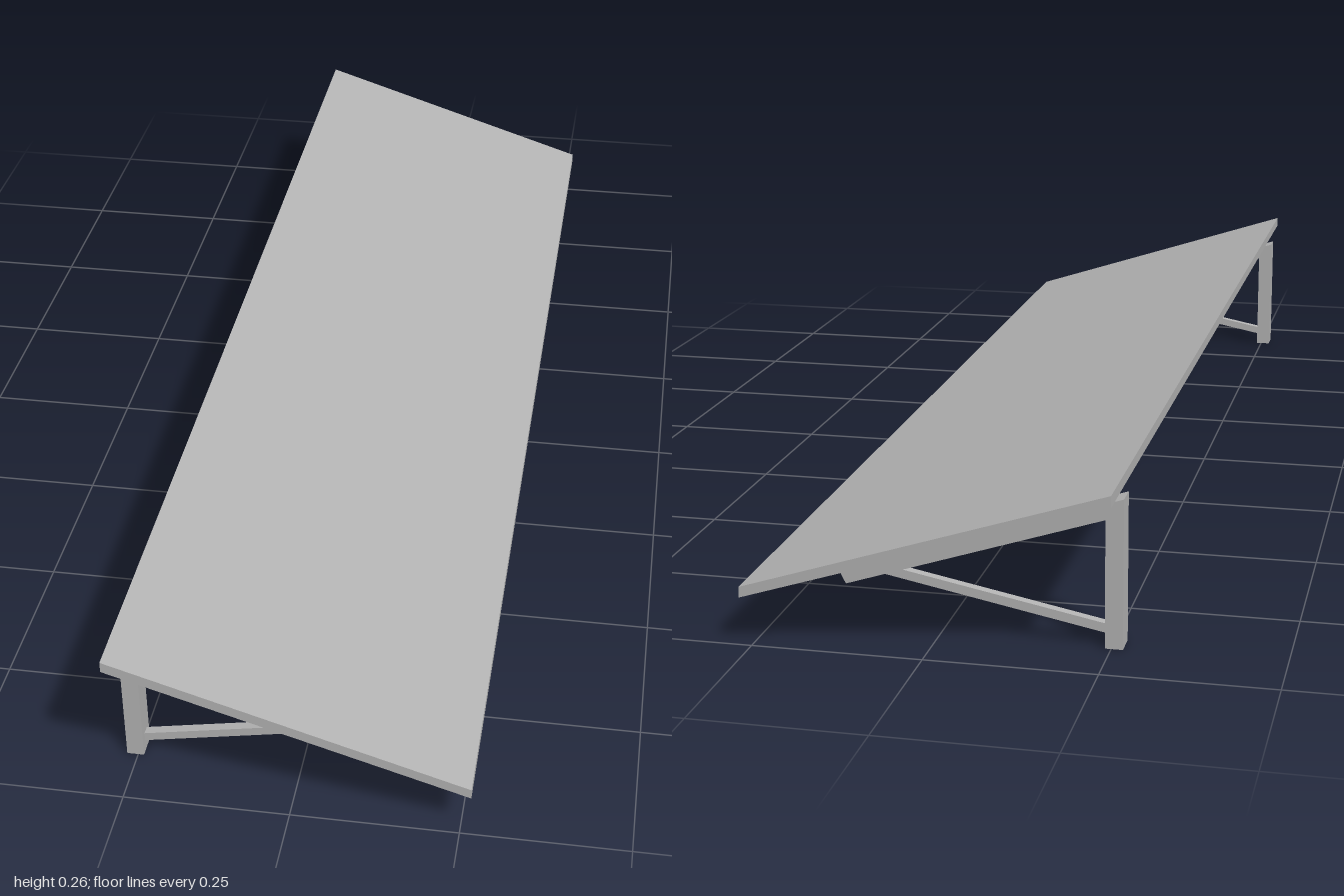
import * as THREE from 'three';

export function createModel() {
  const model = new THREE.Group();
  model.name = 'slopedCanopy';
  const grey = new THREE.MeshStandardMaterial({ color: 0xb4b4b4 });
  grey.name = 'plain grey';

  // Extrudes a side profile (x, y) along z, centred on zCentre
  function bar(name, points, width, zCentre = 0, parent = model) {
    const shape = new THREE.Shape(points.map(([x, y]) => new THREE.Vector2(x, y)));
    const geometry = new THREE.ExtrudeGeometry(shape, { depth: width, bevelEnabled: false });
    geometry.translate(0, 0, zCentre - width / 2);
    const mesh = new THREE.Mesh(geometry, grey);
    mesh.name = name;
    parent.add(mesh);
  }

  // Sloping roof panel
  bar('roofPanel', [[-0.266, 0.241], [0.266, 0.071], [0.266, 0.087], [-0.266, 0.258]], 2);

  // Long battens between the brackets and the panel
  bar('upperBatten', [[-0.163, 0.189], [-0.132, 0.179], [-0.127, 0.2], [-0.156, 0.207]], 1.82);
  bar('lowerBatten', [[0.108, 0.101], [0.138, 0.091], [0.144, 0.11], [0.115, 0.12]], 1.82);

  // A triangular wall bracket near each end
  for (const side of [1, -1]) {
    const bracket = new THREE.Group();
    bracket.name = side > 0 ? 'frontBracket' : 'backBracket';
    model.add(bracket);
    const z = side * 0.89;
    bar('post', [[-0.267, 0], [-0.241, 0], [-0.241, 0.191], [-0.267, 0.223]], 0.037, z, bracket);
    bar('rafter', [[-0.241, 0.191], [0.138, 0.068], [0.148, 0.088], [-0.267, 0.223]], 0.037, z, bracket);
    bar('brace', [[-0.241, 0.019], [0.09, 0.084], [0.063, 0.0925], [-0.241, 0.033]], 0.014, z, bracket);
  }
  return model;
}
